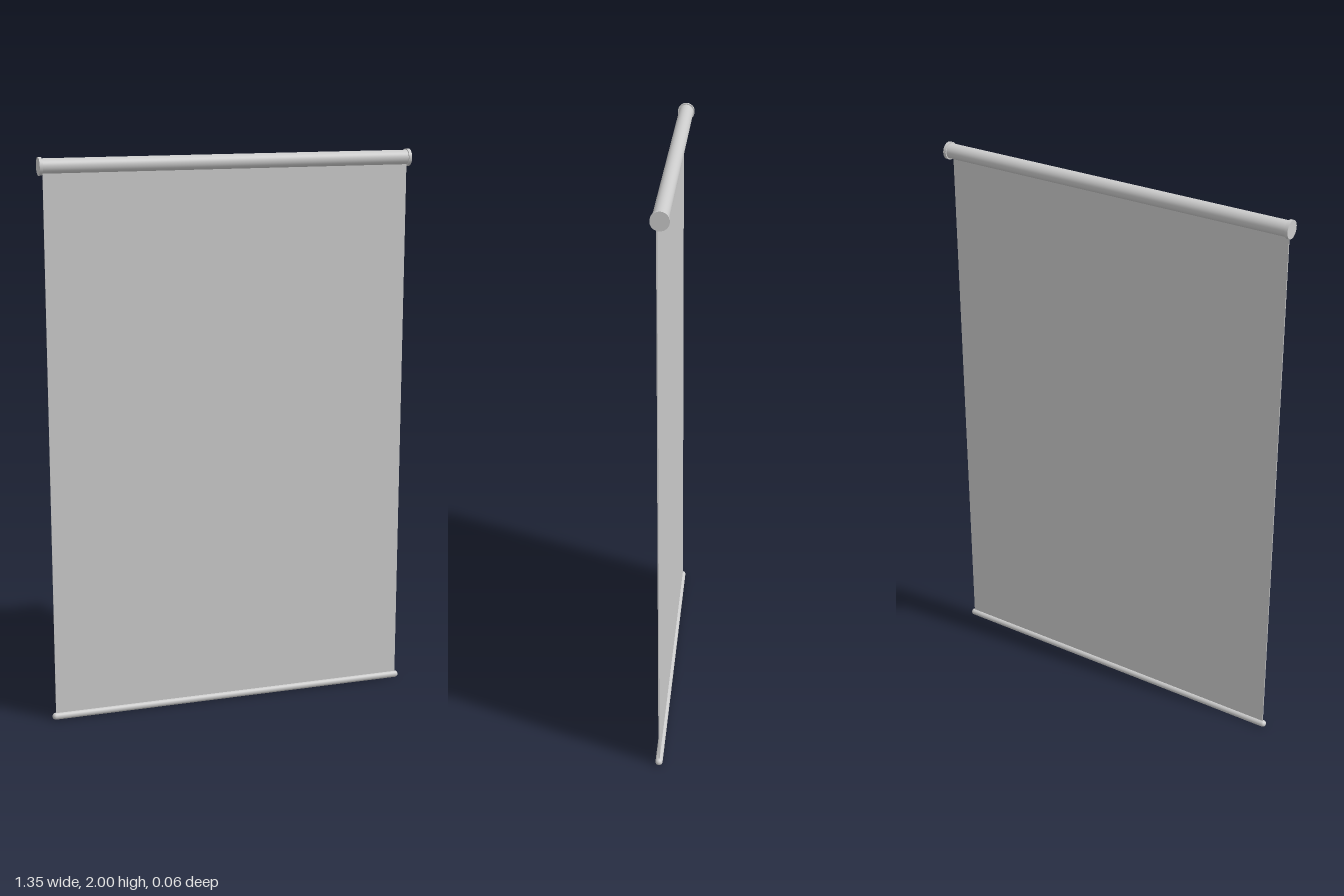
import * as THREE from 'three';

export function createModel() {
  const group = new THREE.Group();
  const material = new THREE.MeshStandardMaterial({ color: 0xcccccc });
  const add = (name, geometry, x, y, z) => {
    const mesh = new THREE.Mesh(geometry, material);
    mesh.name = name;
    mesh.position.set(x, y, z);
    group.add(mesh);
    return mesh;
  };

  const rollY = 1.969, sheetZ = 0.01, barR = 0.0125;

  // Roller tube across the top
  add('roller', new THREE.CylinderGeometry(0.0265, 0.0265, 1.33, 40).rotateZ(Math.PI / 2), 0, rollY, 0);

  // Slightly wider discs closing both ends of the roller
  for (const side of [-1, 1]) {
    add(side > 0 ? 'leftEndCap' : 'rightEndCap',
      new THREE.CylinderGeometry(0.031, 0.031, 0.011, 40).rotateZ(Math.PI / 2), side * 0.6675, rollY, 0);
  }

  // Thin hanging sheet, from inside the roller down into the bottom bar
  const sheetTop = rollY, sheetBottom = 0.015;
  add('sheet', new THREE.BoxGeometry(1.32, sheetTop - sheetBottom, 0.004),
    0, (sheetTop + sheetBottom) / 2, sheetZ);

  // Round-ended weight bar along the bottom edge
  add('bottomBar', new THREE.CapsuleGeometry(barR, 1.346 - 2 * barR, 8, 24).rotateZ(Math.PI / 2), 0, barR, sheetZ);

  return group;
}
